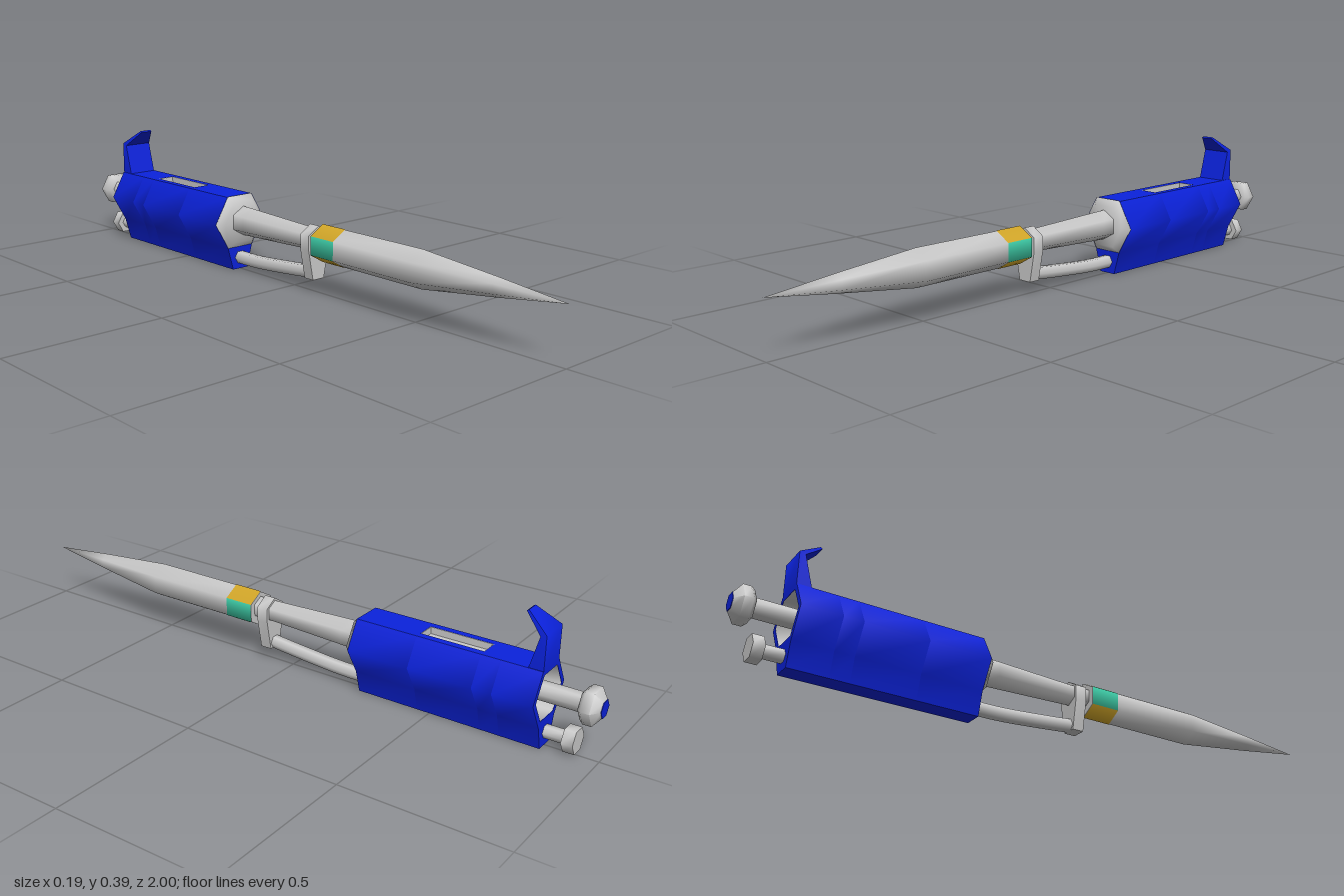
import * as THREE from 'three';
import { toCreasedNormals } from 'three/addons/utils/BufferGeometryUtils.js';

const mat = (color, opts = {}) => new THREE.MeshStandardMaterial({ color, ...opts });
const grey = mat(0xcccccc);
const blue = mat(0x0b22dd);
const gold = mat(0xd9ac2a);
const teal = mat(0x3cc8a4);
const AXIS = 0.157; // height of the main axis

export function createModel() {
  const model = new THREE.Group();
  const add = (name, geometry, material = grey) => {
    const mesh = new THREE.Mesh(geometry, material);
    mesh.name = name;
    model.add(mesh);
    return mesh;
  };

  // Smooth edges below the crease angle (scaled up so tiny parts stay distinct)
  const crease = (g, angle) => toCreasedNormals(g.scale(100, 100, 100), angle).scale(0.01, 0.01, 0.01);

  // Six-sided turned part along z; z rises along an outer profile and falls along an inner one
  const turned = (profile, y, { sideCorners = false, angle = 1.2 } = {}) => {
    const pts = profile.map(([r, z]) => new THREE.Vector2(r, z));
    const g = new THREE.LatheGeometry(pts, 6, sideCorners ? Math.PI / 6 : 0);
    g.rotateX(Math.PI / 2).translate(0, y, 0);
    return crease(g, angle);
  };

  const shapeOf = (pts) => new THREE.Shape(pts.map(([x, y]) => new THREE.Vector2(x, y)));
  const extrude = (shape, z0, z1) =>
    new THREE.ExtrudeGeometry(shape, { depth: z1 - z0, bevelEnabled: false }).translate(0, 0, z0);
  // Body lengths: sides flow into the keel, top edges stay sharp
  const bodyLength = (shape, z0, z1) => crease(extrude(shape, z0, z1), 1.043);

  // Handle body: hexagon with a keel, in lengths so that a window and rear socket can be cut
  const lower = [[-0.097, AXIS], [-0.049, 0.072], [-0.029, 0], [0.029, 0], [0.049, 0.072], [0.097, AXIS], [0.05, 0.24]];
  const plain = [...lower, [-0.05, 0.24]];
  const notched = [...lower, [0.029, 0.24], [0.029, 0.215], [-0.029, 0.215], [-0.029, 0.24], [-0.05, 0.24]];
  const rear = shapeOf(plain);
  const hole = new THREE.Path();
  for (let i = 0; i < 6; i++) {
    const a = (-i * Math.PI) / 3;
    hole[i ? 'lineTo' : 'moveTo'](0.08 * Math.cos(a), AXIS + 0.08 * Math.sin(a));
  }
  hole.closePath();
  rear.holes.push(hole);
  add('bodyFront', bodyLength(shapeOf(plain), -0.46, -0.262), blue);
  add('bodyWindowSection', bodyLength(shapeOf(notched), -0.66, -0.46), blue);
  add('bodyMiddle', bodyLength(shapeOf(plain), -0.72, -0.66), blue);
  add('bodyRear', bodyLength(rear, -0.842, -0.72), blue);

  // Grey linings of the window and of the rear socket
  add('windowFloor', new THREE.BoxGeometry(0.057, 0.004, 0.199).translate(0, 0.217, -0.56));
  for (const s of [-1, 1]) {
    add('windowSideWall', new THREE.BoxGeometry(0.002, 0.024, 0.199).translate(s * 0.028, 0.2275, -0.56));
    add('windowEndWall', new THREE.BoxGeometry(0.057, 0.024, 0.002).translate(0, 0.2275, -0.56 + s * 0.099));
  }
  add('socketLining', turned([[0, -0.722], [0.0795, -0.722], [0.0795, -0.841]], AXIS, { sideCorners: true }));

  // Finger hook, tapered towards its lip
  const hook = new THREE.ExtrudeGeometry(
    shapeOf([[0.798, 0.239], [0.842, 0.239], [0.842, 0.342], [0.774, 0.39], [0.768, 0.386], [0.824, 0.336]]),
    { depth: 0.096, bevelEnabled: false });
  hook.rotateY(Math.PI / 2).translate(-0.048, 0, 0);
  const hp = hook.attributes.position;
  for (let i = 0; i < hp.count; i++) if (hp.getY(i) > 0.36) hp.setX(i, hp.getX(i) * 0.42);
  add('fingerHook', crease(hook, 1.1), blue);

  // Nose collar and tapering shaft
  add('noseCollar', turned([[0.0975, -0.2625], [0.074, -0.243], [0, -0.243]], AXIS, { sideCorners: true }));
  add('shaft', turned([[0.048, -0.26], [0.046, -0.2], [0.036, 0.06], [0.036, 0.14]], AXIS + 0.004));

  // Disposable tip, its point slightly raised, with a flat base
  const tip = turned([[0.0565, 0.125], [0.0572, 0.52], [0.028, 0.78], [0, 1]], AXIS - 0.001, { angle: 3.2 });
  const tp = tip.attributes.position;
  for (let i = 0; i < tp.count; i++) {
    tp.setY(i, tp.getY(i) + 0.011 * Math.max(0, (tp.getZ(i) - 0.52) / 0.48));
  }
  add('tip', tip);
  add('tipBase', turned([[0, 0.125], [0.0565, 0.125]], AXIS - 0.001));

  // Coloured band round the tip: side facets teal, the others gold
  for (let i = 0; i < 6; i++) {
    const facet = new THREE.CylinderGeometry(0.058, 0.058, 0.095, 1, 1, true, (i * Math.PI) / 3, Math.PI / 3);
    facet.rotateX(Math.PI / 2).translate(0, AXIS - 0.001, 0.173);
    add('tipBandFacet', facet, i % 3 === 1 ? teal : gold);
  }

  // Ejector plate hanging from the shaft and the bent rod back to the body
  add('ejectorPlate', crease(extrude(shapeOf([
    [-0.022, 0.041], [0.022, 0.041], [0.04, 0.135], [0.04, 0.18], [0, 0.205], [-0.04, 0.18], [-0.04, 0.135],
  ]), 0.07, 0.107), 1.2));
  const rodPath = new THREE.CatmullRomCurve3([
    [0.09, 0.061], [0.0, 0.052], [-0.15, 0.04], [-0.2, 0.038], [-0.28, 0.038],
  ].map(([z, y]) => new THREE.Vector3(0, y, z)));
  add('ejectorRod', new THREE.TubeGeometry(rodPath, 12, 0.021, 6));

  // Plunger with its bevelled button and blue end
  add('plungerRod', turned([[0.028, -0.95], [0.028, -0.723]], AXIS + 0.003, { sideCorners: true }));
  add('plungerButton', turned(
    [[0.026, -0.999], [0.055, -0.978], [0.055, -0.953], [0.045, -0.942], [0, -0.942]],
    AXIS + 0.002, { sideCorners: true }));
  add('plungerButtonEnd', turned([[0, -1], [0.027, -1], [0.027, -0.99]], AXIS + 0.002, { sideCorners: true }), blue);

  // Ejector button below the plunger
  add('ejectorButtonRod', turned([[0.02, -0.91], [0.02, -0.83]], 0.043, { sideCorners: true }));
  add('ejectorButton', turned([[0, -0.937], [0.039, -0.937], [0.039, -0.903], [0, -0.903]], 0.043, { sideCorners: true }));

  return model;
}
